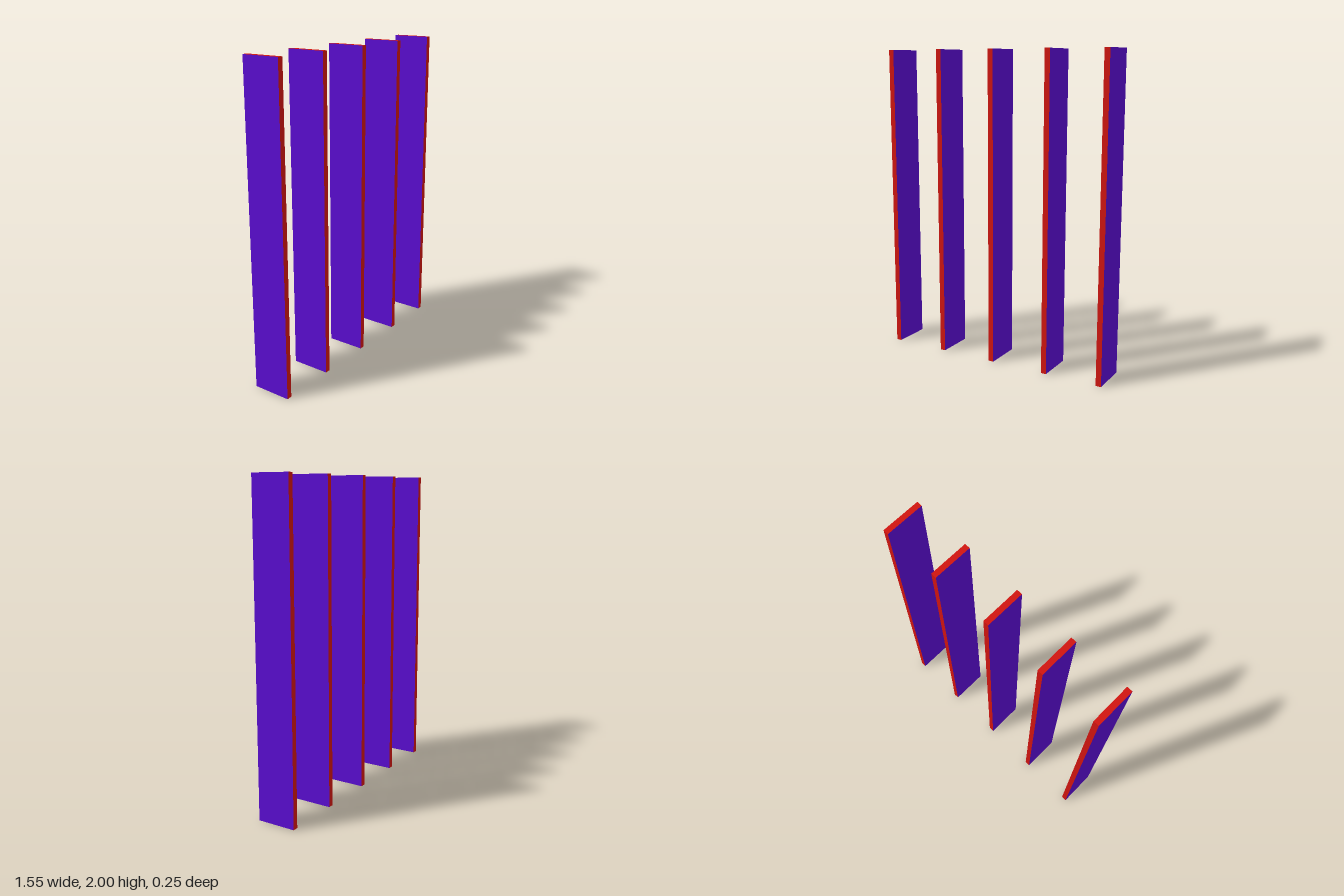
import * as THREE from 'three';

const HEIGHT = 2, THICKNESS = 0.035, DEPTH = 0.248;

export function createModel() {
  const model = new THREE.Group();
  model.name = 'slatScreen';

  const edge = new THREE.MeshStandardMaterial({ color: 0xd01510 });
  const face = new THREE.MeshStandardMaterial({ color: 0x5a0dd0 });

  // Broad faces look along x; ends and narrow edges take the edge colour
  const geometry = new THREE.BoxGeometry(THICKNESS, HEIGHT, DEPTH);
  const materials = [face, face, edge, edge, edge, edge];

  // Row of five upright slats
  [-0.757, -0.382, 0, 0.386, 0.757].forEach((x, i) => {
    const slat = new THREE.Mesh(geometry, materials);
    slat.name = `slat${i + 1}`;
    slat.position.set(x, HEIGHT / 2, 0);
    model.add(slat);
  });

  return model;
}
